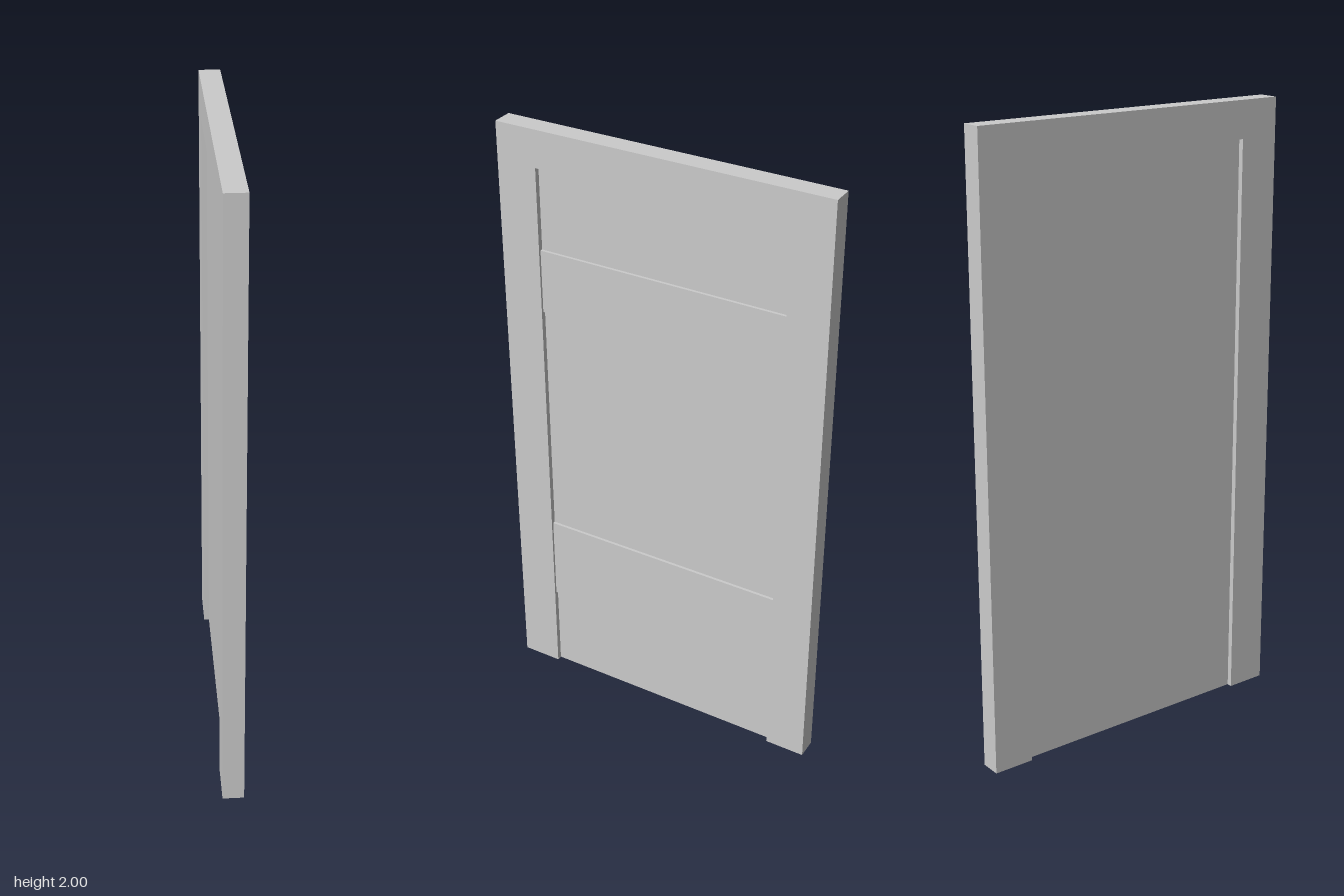
import * as THREE from 'three';

export function createModel() {
  const model = new THREE.Group();
  const material = new THREE.MeshStandardMaterial({ color: 0xcccccc });

  const thick = 0.068, halfWidth = 0.548, height = 2;
  const openHalf = 0.415, openTop = 1.88;
  const panelThick = 0.034, railFace = 0.026;

  // Surround: stiles and head in one piece, open at the bottom
  const outline = new THREE.Shape([
    [-halfWidth, 0], [-openHalf, 0], [-openHalf, openTop], [openHalf, openTop],
    [openHalf, 0], [halfWidth, 0], [halfWidth, height], [-halfWidth, height],
  ].map(([z, y]) => new THREE.Vector2(z, y)));
  const frameGeometry = new THREE.ExtrudeGeometry(outline, { depth: thick, bevelEnabled: false });
  frameGeometry.translate(0, 0, -thick / 2).rotateY(Math.PI / 2);
  const frame = new THREE.Mesh(frameGeometry, material);
  frame.name = 'doorFrame';
  model.add(frame);

  // Recessed panel filling the opening
  const panel = new THREE.Mesh(new THREE.BoxGeometry(panelThick, openTop, openHalf * 2), material);
  panel.position.y = openTop / 2;
  panel.name = 'doorPanel';
  model.add(panel);

  // Shallow cross rails on the +x side, set back from the frame face
  for (const [name, y0, y1] of [['lowerRail', 0.3, 0.595], ['upperRail', 1.4, 1.61]]) {
    const rail = new THREE.Mesh(new THREE.BoxGeometry(railFace, y1 - y0, openHalf * 2), material);
    rail.position.set(railFace / 2, (y0 + y1) / 2, 0);
    rail.name = name;
    model.add(rail);
  }

  return model;
}
